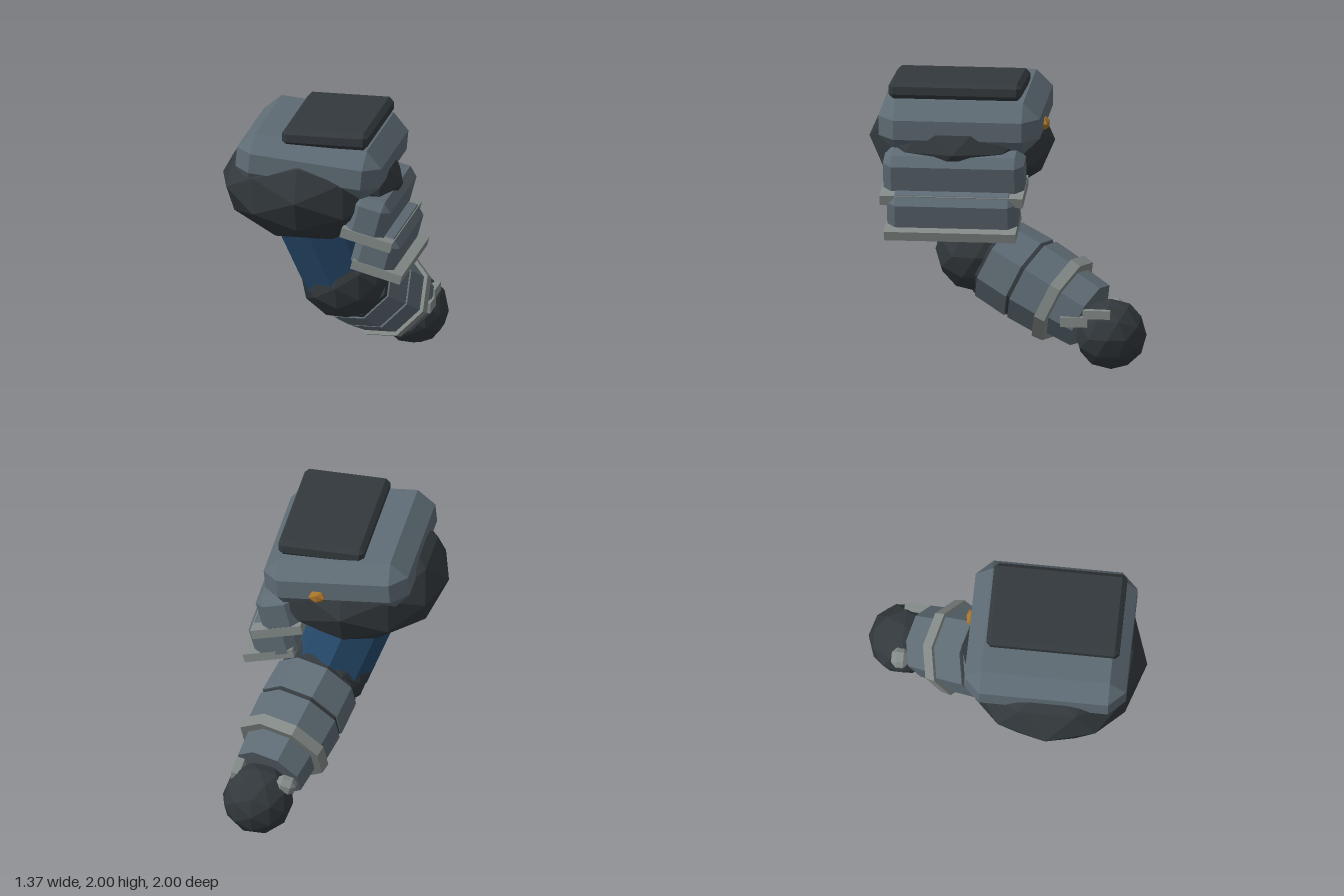
import * as THREE from 'three';
import { ConvexGeometry } from 'three/addons/geometries/ConvexGeometry.js';

const mat = (color) => new THREE.MeshStandardMaterial({ color, flatShading: true });

// Box whose every edge is cut by a chamfer c
function chamferBox(w, h, d, c) {
  const half = [w / 2, h / 2, d / 2];
  const points = [];
  for (const sx of [-1, 1]) for (const sy of [-1, 1]) for (const sz of [-1, 1]) {
    for (let full = 0; full < 3; full++) {
      const [x, y, z] = half.map((v, i) => (i === full ? v : v - c));
      points.push(new THREE.Vector3(sx * x, sy * y, sz * z));
    }
  }
  return new ConvexGeometry(points);
}

export function createModel() {
  const model = new THREE.Group();
  const slate = mat(0x5f6c75);
  const dark = mat(0x33393d);
  const trim = mat(0x838a88);
  const blue = mat(0x264a6c);
  const amber = mat(0xa8742a);

  function add(name, geometry, material, position, tilt = 0) {
    const mesh = new THREE.Mesh(geometry, material);
    mesh.name = name;
    mesh.position.set(...position);
    mesh.rotation.z = THREE.MathUtils.degToRad(tilt);
    model.add(mesh);
    return mesh;
  }

  // Faceted ball joints
  function ball(name, position, rx, ry, rz) {
    add(name, new THREE.IcosahedronGeometry(1, 1), dark, position).scale.set(rx, ry, rz);
  }
  ball('shoulder', [-0.05, 1.52, 0.345], 0.64, 0.42, 0.65);
  ball('elbow', [0.14, 0.765, 0.2], 0.31, 0.3, 0.31);
  ball('fist', [0.43, 0.25, -0.75], 0.25, 0.25, 0.25);

  // Shoulder armour with its top plate and rear stud
  add('shoulderPlate', chamferBox(1.03, 0.37, 1.13, 0.115), slate, [0.005, 1.725, 0.315], -5.3);
  add('topPlate', chamferBox(0.61, 0.12, 0.93, 0.032), dark, [0.125, 1.94, 0.345]);
  add('stud', new THREE.IcosahedronGeometry(1, 0), amber, [0.12, 1.67, -0.255]).scale.set(0.065, 0.05, 0.035);

  // Two overlapping side plates, each with a rim along its lower edge
  add('upperSidePlate', chamferBox(0.28, 0.32, 0.985, 0.06), slate, [0.43, 1.37, 0.342], -15);
  add('upperRim', new THREE.BoxGeometry(0.37, 0.07, 1), trim, [0.43, 1.245, 0.347], -15);
  add('lowerSidePlate', chamferBox(0.31, 0.31, 0.91, 0.06), slate, [0.475, 1.115, 0.345], -15);
  add('lowerRim', new THREE.BoxGeometry(0.365, 0.065, 0.92), trim, [0.495, 1.005, 0.35], -15);

  // Eight-sided sleeve between two points
  const up = new THREE.Vector3(0, 1, 0);
  function sleeve(name, from, to, rFrom, rTo, material) {
    const axis = to.clone().sub(from);
    const geometry = new THREE.CylinderGeometry(rTo, rFrom, axis.length(), 8);
    const mid = from.clone().lerp(to, 0.5);
    const mesh = add(name, geometry, material, mid.toArray());
    mesh.quaternion.setFromUnitVectors(up, axis.normalize());
  }
  sleeve('upperArm', new THREE.Vector3(0.13, 0.76, 0.2), new THREE.Vector3(-0.11, 1.42, 0.36), 0.285, 0.3, blue);

  // Forearm: plates, dark joints and a cuff strung along one axis
  const start = new THREE.Vector3(0.14, 0.78, 0.2);
  const direction = new THREE.Vector3(0.29, -0.49, -0.95).normalize();
  const at = (t) => start.clone().addScaledVector(direction, t);
  const sections = [
    ['elbowJoint', 0.13, 0.17, 0.285, 0.295, dark],
    ['forearmPlateNear', 0.16, 0.41, 0.305, 0.315, slate],
    ['forearmJoint', 0.4, 0.45, 0.3, 0.3, dark],
    ['forearmPlateFar', 0.44, 0.67, 0.315, 0.305, slate],
    ['cuff', 0.66, 0.74, 0.335, 0.325, trim],
    ['wristGuard', 0.73, 0.93, 0.265, 0.25, slate],
  ];
  for (const [name, a, b, ra, rb, material] of sections) sleeve(name, at(a), at(b), ra, rb, material);

  // Small fittings on either side of the wrist
  add('wristBar', new THREE.BoxGeometry(0.06, 0.07, 0.19), trim, [0.59, 0.365, -0.51]);
  add('wristBarTip', new THREE.BoxGeometry(0.06, 0.06, 0.19), trim, [0.59, 0.42, -0.67]);
  add('wristKnob', chamferBox(0.14, 0.12, 0.12, 0.035), trim, [0.23, 0.4, -0.76], 15);

  return model;
}
